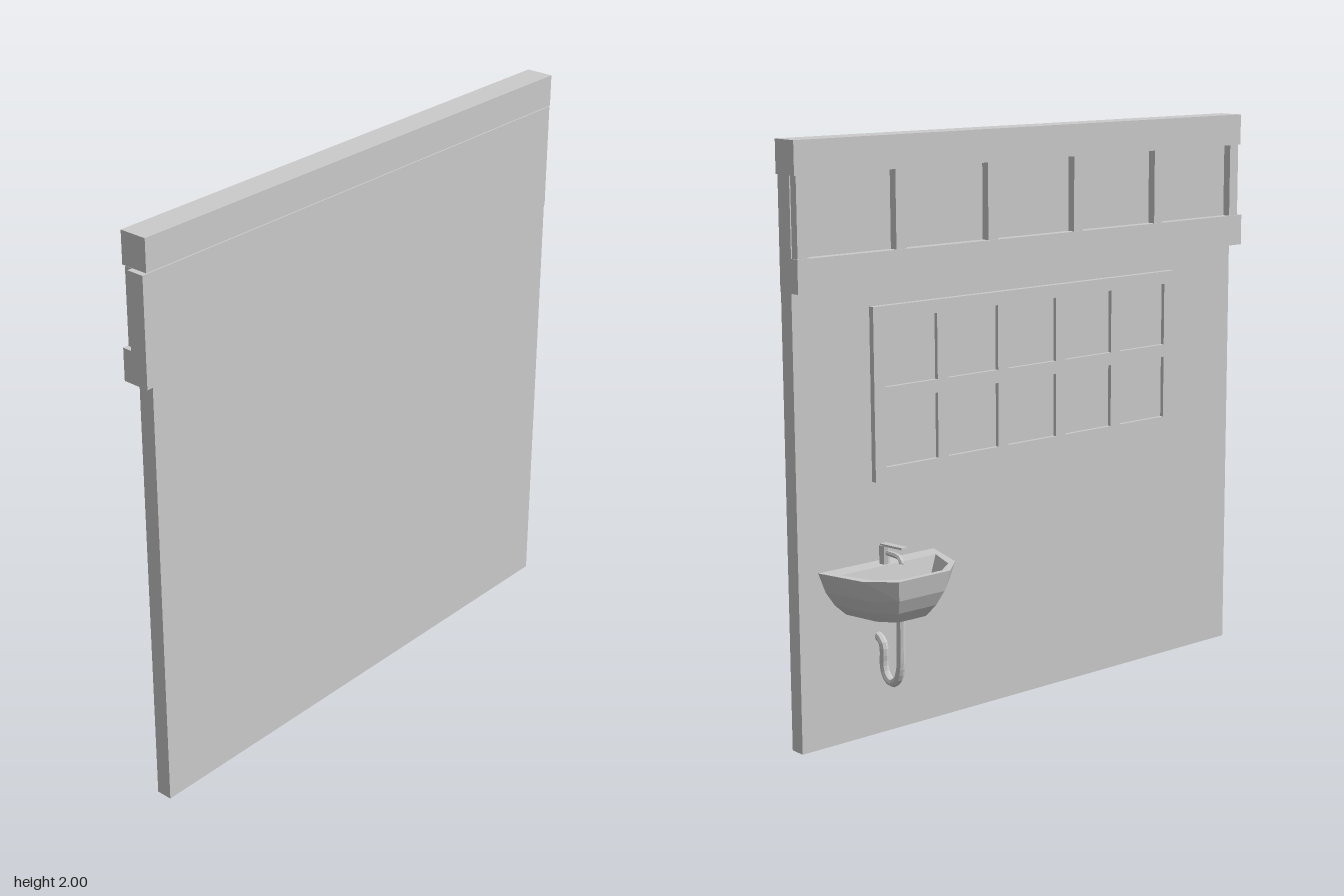
import * as THREE from 'three';

const grey = new THREE.MeshStandardMaterial({ color: 0xcccccc, flatShading: true, side: THREE.DoubleSide });

function add(parent, name, geometry) {
  const mesh = new THREE.Mesh(geometry, grey);
  mesh.name = name;
  parent.add(mesh);
  return mesh;
}

// Box given by its limits on each axis
function block(parent, name, [x0, x1], [y0, y1], [z0, z1]) {
  const mesh = add(parent, name, new THREE.BoxGeometry(x1 - x0, y1 - y0, z1 - z0));
  mesh.position.set((x0 + x1) / 2, (y0 + y1) / 2, (z0 + z1) / 2);
  return mesh;
}

// Joins rings of equal point count and caps both ends
function loft(rings) {
  const n = rings[0].length, index = [];
  for (let r = 0; r < rings.length - 1; r++) {
    for (let i = 0; i < n; i++) {
      const a = r * n + i, b = r * n + (i + 1) % n;
      index.push(a, b, a + n, b, b + n, a + n);
    }
  }
  const last = (rings.length - 1) * n;
  for (let i = 1; i < n - 1; i++) {
    index.push(0, i + 1, i, last, last + i, last + i + 1);
  }
  const geometry = new THREE.BufferGeometry();
  geometry.setAttribute('position', new THREE.Float32BufferAttribute(rings.flat(2), 3));
  geometry.setIndex(index);
  const flat = geometry.toNonIndexed();
  flat.computeVertexNormals();
  return flat;
}

// Half-hexagon basin outline: front x, back x, half width at the back
function basinRing(y, front, back, half) {
  const mid = front + 0.3 * (back - front);
  return [
    [back, y, -half], [mid, y, -half * 0.79], [front, y, -half * 0.44],
    [front, y, half * 0.44], [mid, y, half * 0.79], [back, y, half],
  ];
}

function tube(points, radius, segments, sides) {
  const curve = new THREE.CatmullRomCurve3(points.map(([x, y]) => new THREE.Vector3(x, y, 0)));
  return new THREE.TubeGeometry(curve, segments, radius, sides);
}

function createWindow() {
  const group = new THREE.Group();
  group.name = 'window';
  const z0 = -0.69, z1 = 0.665, y0 = 0.87, y1 = 1.45, bar = 0.045, columns = 5, rows = 2;
  const shape = new THREE.Shape([[z0, y0], [z1, y0], [z1, y1], [z0, y1]].map(p => new THREE.Vector2(...p)));
  const w = (z1 - z0 - bar * (columns + 1)) / columns;
  const h = (y1 - y0 - bar * (rows + 1)) / rows;
  for (let c = 0; c < columns; c++) {
    for (let r = 0; r < rows; r++) {
      const a = z0 + bar + c * (w + bar), b = y0 + bar + r * (h + bar);
      shape.holes.push(new THREE.Path([[a, b], [a, b + h], [a + w, b + h], [a + w, b]].map(p => new THREE.Vector2(...p))));
    }
  }
  const frame = new THREE.ExtrudeGeometry(shape, { depth: 0.022, bevelEnabled: false });
  frame.rotateY(-Math.PI / 2).translate(0.096, 0, 0);
  add(group, 'windowFrame', frame);
  block(group, 'windowPanes', [0.088, 0.096], [y0 + 0.02, y1 - 0.02], [z0 + 0.02, z1 - 0.02]);
  return group;
}

function createSink() {
  const group = new THREE.Group();
  group.name = 'sink';
  group.position.z = -0.675;

  // Basin: outside from the bottom up, over the rim, then down inside
  add(group, 'basin', loft([
    basinRing(0.44, -0.09, 0.096, 0.13),
    basinRing(0.48, -0.12, 0.096, 0.175),
    basinRing(0.53, -0.145, 0.096, 0.21),
    basinRing(0.6, -0.16, 0.096, 0.238),
    basinRing(0.6, -0.14, 0.03, 0.195),
    basinRing(0.53, -0.12, 0.015, 0.16),
    basinRing(0.47, -0.085, 0, 0.1),
  ]));

  // Tap
  const body = add(group, 'tapBody', new THREE.CylinderGeometry(0.018, 0.018, 0.065, 8));
  body.position.set(0.053, 0.63, 0);
  add(group, 'tapSpout', tube([[0.05, 0.638], [0, 0.638], [-0.028, 0.634], [-0.04, 0.615]], 0.009, 8, 6));
  const lever = block(group, 'tapLever', [-0.055, 0.06], [0.664, 0.671], [-0.013, 0.013]);
  lever.rotation.z = -0.06;

  // Drain with its U bend
  add(group, 'drainPipe', tube([
    [-0.03, 0.45], [-0.028, 0.35], [-0.024, 0.25], [-0.006, 0.21], [0.025, 0.195],
    [0.055, 0.215], [0.066, 0.25], [0.064, 0.3], [0.075, 0.33], [0.1, 0.342],
  ], 0.015, 24, 8));
  return group;
}

export function createModel() {
  const model = new THREE.Group();
  model.name = 'wallSection';

  block(model, 'wall', [0.095, 0.152], [0, 1.53], [-0.99, 0.975]);
  block(model, 'topBeam', [0.05, 0.15], [1.89, 2], [-1, 0.98]);

  // Frieze: recessed panel, lower rail and posts
  block(model, 'friezePanel', [0.092, 0.155], [1.63, 1.89], [-0.99, 1]);
  block(model, 'friezeRail', [0.058, 0.155], [1.52, 1.63], [-0.99, 1]);
  for (let i = 0; i < 6; i++) {
    const z = -0.965 + i * 0.385;
    block(model, 'friezePost', [0.062, 0.093], [1.63, 1.89], [z - 0.021, z + 0.021]);
  }

  model.add(createWindow(), createSink());
  return model;
}
